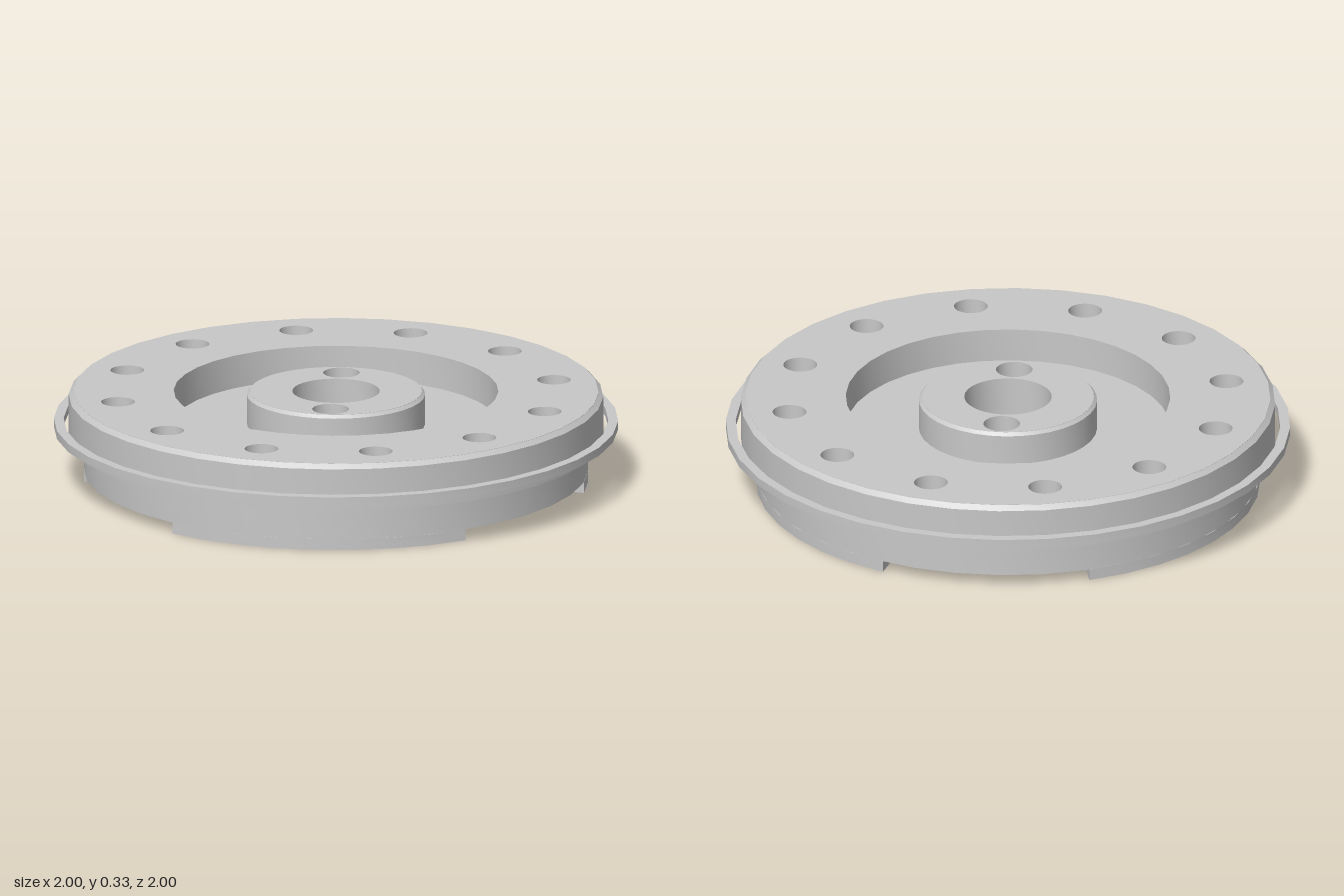
import * as THREE from 'three';
import { toCreasedNormals } from 'three/addons/utils/BufferGeometryUtils.js';

const rad = THREE.MathUtils.degToRad;
const SEGMENTS = 36;
const TURN = 3.5; // angle of the first rim notch, degrees from +x toward +z

// Plan point at radius r and angle a (degrees from +x toward +z)
const polar = (r, a) => new THREE.Vector2(r * Math.cos(rad(a)), -r * Math.sin(rad(a)));

// Evenly spaced values from a to b
const steps = (a, b, n) => Array.from({ length: n + 1 }, (_, i) => a + ((b - a) * i) / n);

const arc = (r, a, b, n) => steps(a, b, n).map((t) => polar(r, t));

function circle(r, centre = new THREE.Vector2(), n = 24) {
  return Array.from({ length: n }, (_, i) => polar(r, (i * 360) / n).add(centre));
}

// Part of a three-lobed pocket outline; one lobe faces outward at 0 degrees
function pocket(angle, from, to) {
  const centre = polar(0.63, angle);
  return steps(from, to, Math.abs(to - from) / 10).map((a) =>
    polar(0.175 + 0.025 * Math.cos(rad(3 * a)), a + angle).add(centre));
}

// Three standing sectors between pockets, joined by a thin inner ring
function footOutline() {
  const points = [];
  for (let k = 0; k < 3; k++) {
    const mid = TURN + 60 + k * 120;
    points.push(
      ...pocket(mid - 30, 180, -20),
      ...arc(0.893, mid - 35.7, mid + 35.7, 8),
      ...pocket(mid + 30, 20, -180),
      ...arc(0.465, mid + 35, mid + 85, 6));
  }
  return points;
}

export function createModel() {
  const group = new THREE.Group();
  const metal = new THREE.MeshStandardMaterial({ color: 0xc8c8c8 });
  metal.name = 'grey metal';

  const add = (name, geometry) => {
    const mesh = new THREE.Mesh(geometry, metal);
    mesh.name = name;
    group.add(mesh);
  };

  // Flat layer between two heights with holes through it
  const layer = (name, outline, holes, y0, y1) => {
    const shape = new THREE.Shape([...outline].reverse());
    shape.holes = holes.map((h) => new THREE.Path(h));
    const g = new THREE.ExtrudeGeometry(shape, { depth: y1 - y0, bevelEnabled: false });
    g.rotateX(-Math.PI / 2);
    g.translate(0, y0, 0);
    add(name, toCreasedNormals(g, rad(35)));
  };

  // Turned surface with crisp edges; the profile runs upward on the outside
  const turned = (name, profile) => {
    const g = new THREE.LatheGeometry(profile.map(([r, y]) => new THREE.Vector2(r, y)), SEGMENTS);
    add(name, toCreasedNormals(g.toNonIndexed(), rad(25)));
  };

  // Underside: central recess, alternating wide and narrow holes, lobed pockets
  const recess = circle(0.43, undefined, SEGMENTS);
  const wideHoles = [];
  const otherHoles = [];
  for (let k = 0; k < 3; k++) {
    const a = TURN + k * 120;
    wideHoles.push(circle(0.105, polar(0.68, a + 60)));
    otherHoles.push(circle(0.07, polar(0.68, a)));
    otherHoles.push(pocket(a + 30, 0, 350), pocket(a + 90, 0, 350));
  }
  layer('notchedFoot', footOutline(), [recess, ...wideHoles], 0, 0.04);
  layer('lowerBody', circle(0.893, undefined, SEGMENTS), [recess, ...wideHoles, ...otherHoles], 0.04, 0.16);

  // Web closing the pockets and forming the upper recess floor
  const bore = circle(0.155, undefined, SEGMENTS);
  layer('web', circle(0.935, undefined, SEGMENTS), [bore], 0.16, 0.21);

  // Upper flange with twelve blind holes
  const flangeHoles = [circle(0.575, undefined, SEGMENTS)];
  for (let k = 0; k < 12; k++) flangeHoles.push(circle(0.06, polar(0.785, 18.4 + k * 30)));
  layer('upperFlange', circle(0.93, undefined, SEGMENTS), flangeHoles, 0.21, 0.33);
  turned('flangeEdge', [[0.88, 0.16], [0.947, 0.16], [0.947, 0.313], [0.929, 0.33]]);

  // Central boss with two small holes
  const bossHoles = [bore, ...[63.5, 243.5].map((a) => circle(0.065, polar(0.233, a)))];
  layer('boss', circle(0.305, undefined, SEGMENTS), bossHoles, 0.21, 0.33);
  turned('bossEdge', [[0.316, 0.21], [0.316, 0.318], [0.304, 0.33]]);

  // Hub tube hanging in the lower recess
  turned('hubTube', [[0.155, 0.16], [0.155, 0.002], [0.16, 0.002], [0.177, 0.025], [0.177, 0.16]]);

  // Loose retaining ring round the flange
  turned('retainingRing', [[0.965, 0.225], [0.965, 0.195], [1, 0.195], [1, 0.225], [0.965, 0.225]]);

  return group;
}
